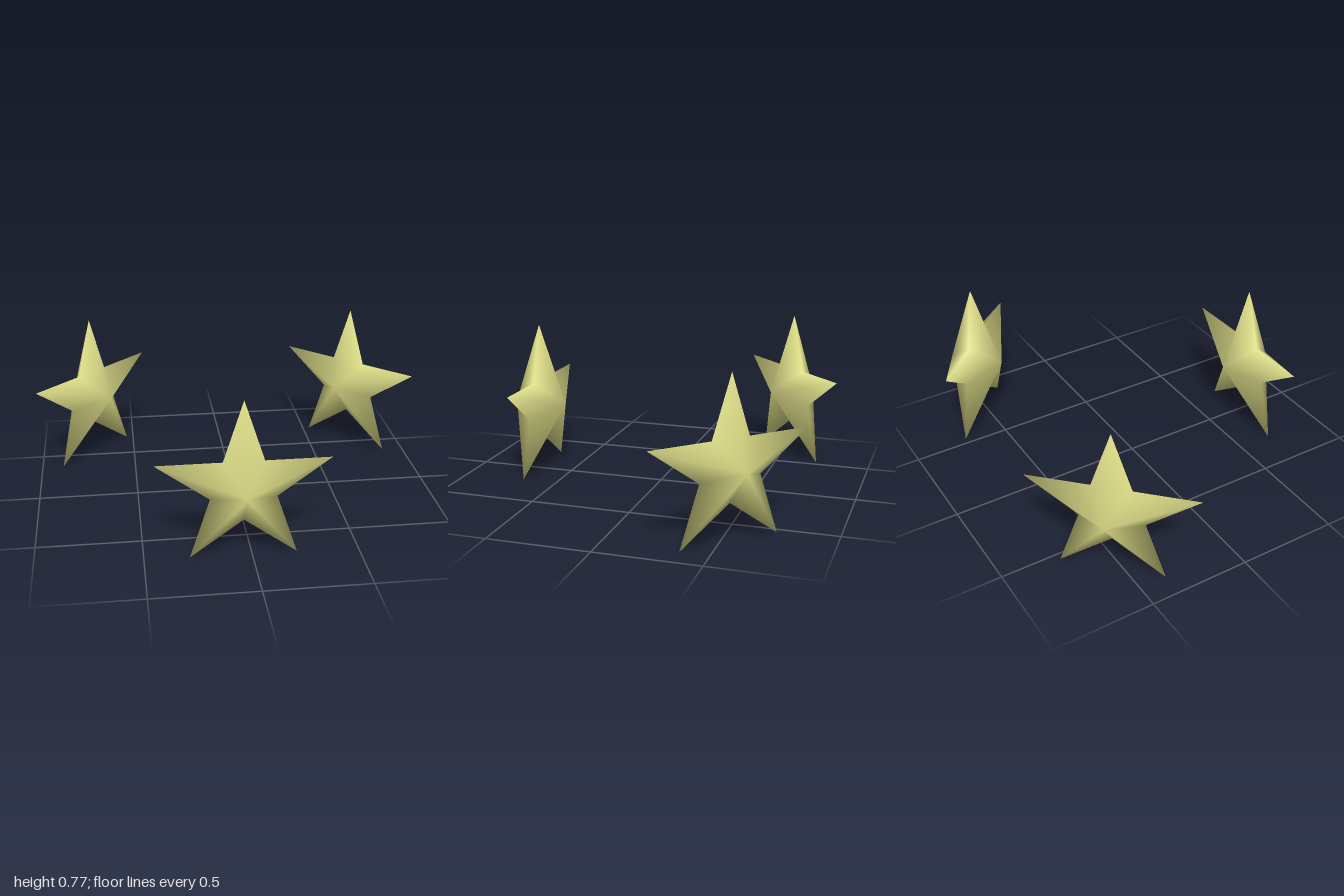
import * as THREE from 'three';

const OUTER = 0.425, INNER = 0.162, HALF_DEPTH = 0.14, CENTRE_Y = 0.345;

// Puffed five-pointed star: a flat rim joined to a front and a back peak
function starGeometry() {
  const positions = [0, 0.01, HALF_DEPTH, 0, 0.01, -HALF_DEPTH];
  const index = [];
  for (let i = 0; i < 10; i++) {
    const angle = Math.PI / 2 + (i * Math.PI) / 5;
    const r = i % 2 ? INNER : OUTER;
    positions.push(r * Math.cos(angle), r * Math.sin(angle), 0);
    const a = 2 + i, b = 2 + ((i + 1) % 10);
    index.push(0, a, b, 1, b, a);
  }
  const geometry = new THREE.BufferGeometry();
  geometry.setAttribute('position', new THREE.Float32BufferAttribute(positions, 3));
  geometry.setIndex(index);
  geometry.computeVertexNormals(); // shared vertices give soft shading
  return geometry;
}

export function createModel() {
  const group = new THREE.Group();
  group.name = 'starTrio';
  const geometry = starGeometry();
  const material = new THREE.MeshStandardMaterial({ color: 0xdddd88 });

  // Three stars around the middle: name, x, z, turn about y
  const stars = [
    ['frontStar', -0.04, 0.68, 0],
    ['backLeftStar', 0.712, -0.54, -Math.PI / 4],
    ['backRightStar', -0.712, -0.54, Math.PI / 4],
  ];
  for (const [name, x, z, turn] of stars) {
    const star = new THREE.Mesh(geometry, material);
    star.name = name;
    star.position.set(x, CENTRE_Y, z);
    star.rotation.y = turn;
    group.add(star);
  }
  return group;
}
